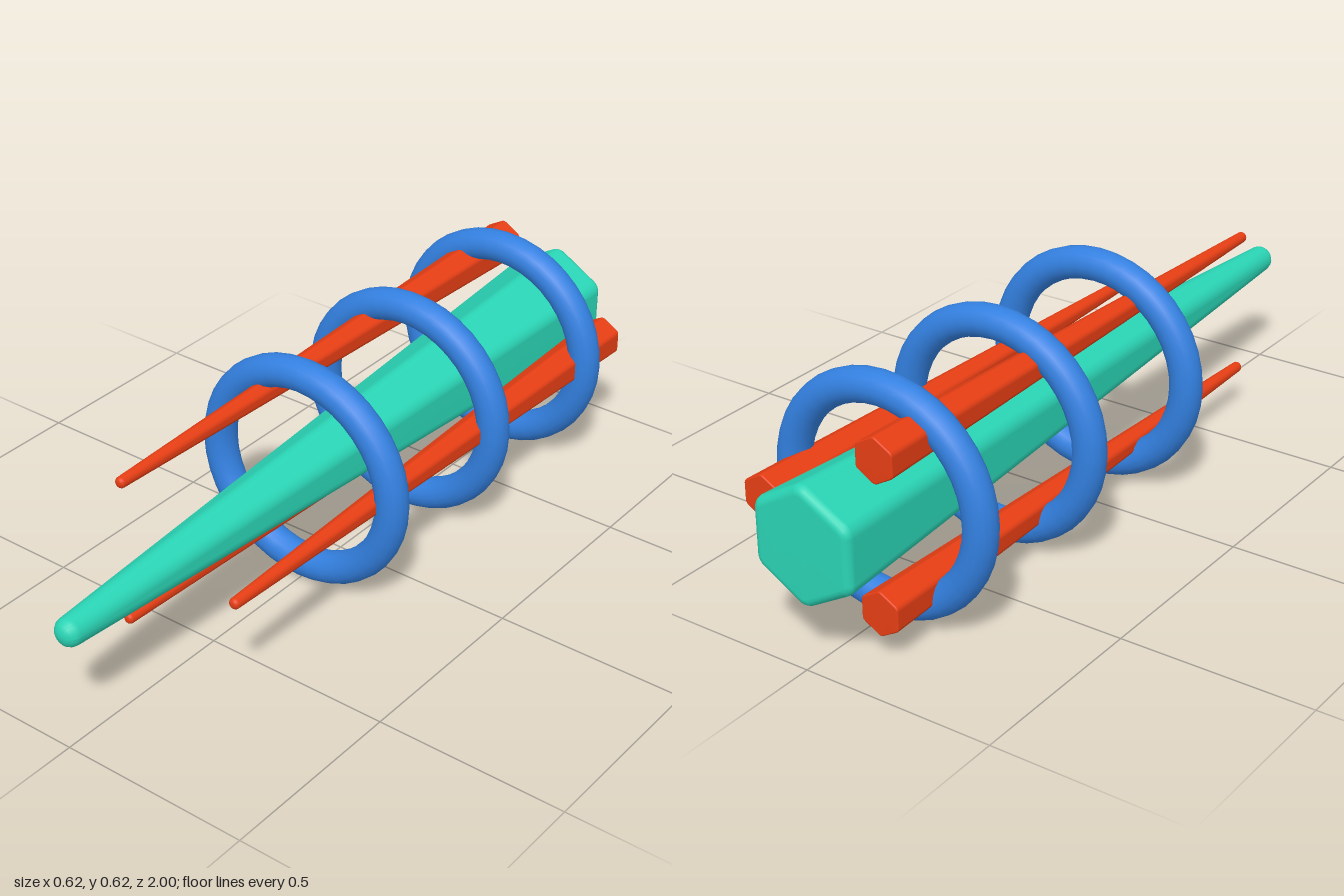
import * as THREE from 'three';

const CENTER_Y = 0.31;
const material = (color) => new THREE.MeshStandardMaterial({ color });

// Tapered hexagonal bar along z, rounded along its edges and at both ends.
// back/front: { z, apothem, bevel }; corner is the radius of the long edges.
function taperedHexBar(back, front, corner) {
  const STEPS = 5, BEVEL = 4;
  const rings = [];
  for (let i = 0; i <= BEVEL; i++) {
    const t = (i / BEVEL) * Math.PI / 2;
    rings.push({ z: back.z + back.bevel * (1 - Math.sin(t)), a: back.apothem, inset: back.bevel * (1 - Math.sin(t)) });
    rings[i].z = back.z + back.bevel * (1 - Math.cos(t));
    rings[i].inset = back.bevel * (1 - Math.sin(t));
  }
  for (let i = 0; i <= BEVEL; i++) {
    const t = (i / BEVEL) * Math.PI / 2;
    rings.push({ z: front.z - front.bevel * (1 - Math.sin(t)), a: front.apothem, inset: front.bevel * (1 - Math.cos(t)) });
  }

  const positions = [], indices = [];
  const n = 6 * (STEPS + 1);
  for (const { z, a, inset } of rings) {
    const r = Math.max(corner - inset, 0.001);
    const d = Math.max(a - inset - r, 0) / Math.cos(Math.PI / 6);
    for (let k = 0; k < 6; k++) {
      const c = Math.PI / 6 + k * Math.PI / 3;
      for (let s = 0; s <= STEPS; s++) {
        const t = c + (s / STEPS - 0.5) * Math.PI / 3;
        positions.push(d * Math.cos(c) + r * Math.cos(t), d * Math.sin(c) + r * Math.sin(t), z);
      }
    }
  }
  for (let i = 0; i < rings.length - 1; i++) {
    for (let j = 0; j < n; j++) {
      const p = i * n + j, q = i * n + (j + 1) % n;
      indices.push(p, q, q + n, p, q + n, p + n);
    }
  }
  // End caps
  const last = (rings.length - 1) * n;
  const backCentre = positions.length / 3;
  positions.push(0, 0, back.z, 0, 0, front.z);
  for (let j = 0; j < n; j++) {
    const k = (j + 1) % n;
    indices.push(backCentre, k, j, backCentre + 1, last + j, last + k);
  }
  const geometry = new THREE.BufferGeometry();
  geometry.setAttribute('position', new THREE.Float32BufferAttribute(positions, 3));
  geometry.setIndex(indices);
  geometry.computeVertexNormals();
  return geometry;
}

export function createModel() {
  const group = new THREE.Group();
  const add = (name, geometry, mat, x, y, z) => {
    const mesh = new THREE.Mesh(geometry, mat);
    mesh.name = name;
    mesh.position.set(x, y, z);
    group.add(mesh);
  };

  // Central spike
  const spike = taperedHexBar(
    { z: -1, apothem: 0.135, bevel: 0.022 },
    { z: 1, apothem: 0.0362, bevel: 0.03 }, 0.036);
  add('centralSpike', spike, material(0x2ad4b5), 0, CENTER_Y, 0);

  // Three thin rods spaced evenly around the spike
  const rod = taperedHexBar(
    { z: -0.875, apothem: 0.051, bevel: 0.004 },
    { z: 0.68, apothem: 0.0142, bevel: 0.01 }, 0.014);
  const red = material(0xe63e14);
  for (let i = 0; i < 3; i++) {
    const t = (i * Math.PI * 2) / 3;
    add(`rod${i + 1}`, rod, red, 0.22 * Math.cos(t), CENTER_Y + 0.22 * Math.sin(t), 0);
  }

  // Three rings binding the rods
  const ring = new THREE.TorusGeometry(0.267, 0.042, 16, 40);
  const blue = material(0x3380e0);
  for (let i = 0; i < 3; i++) add(`ring${i + 1}`, ring, blue, 0, CENTER_Y, 0.145 - 0.426 * i);

  return group;
}
